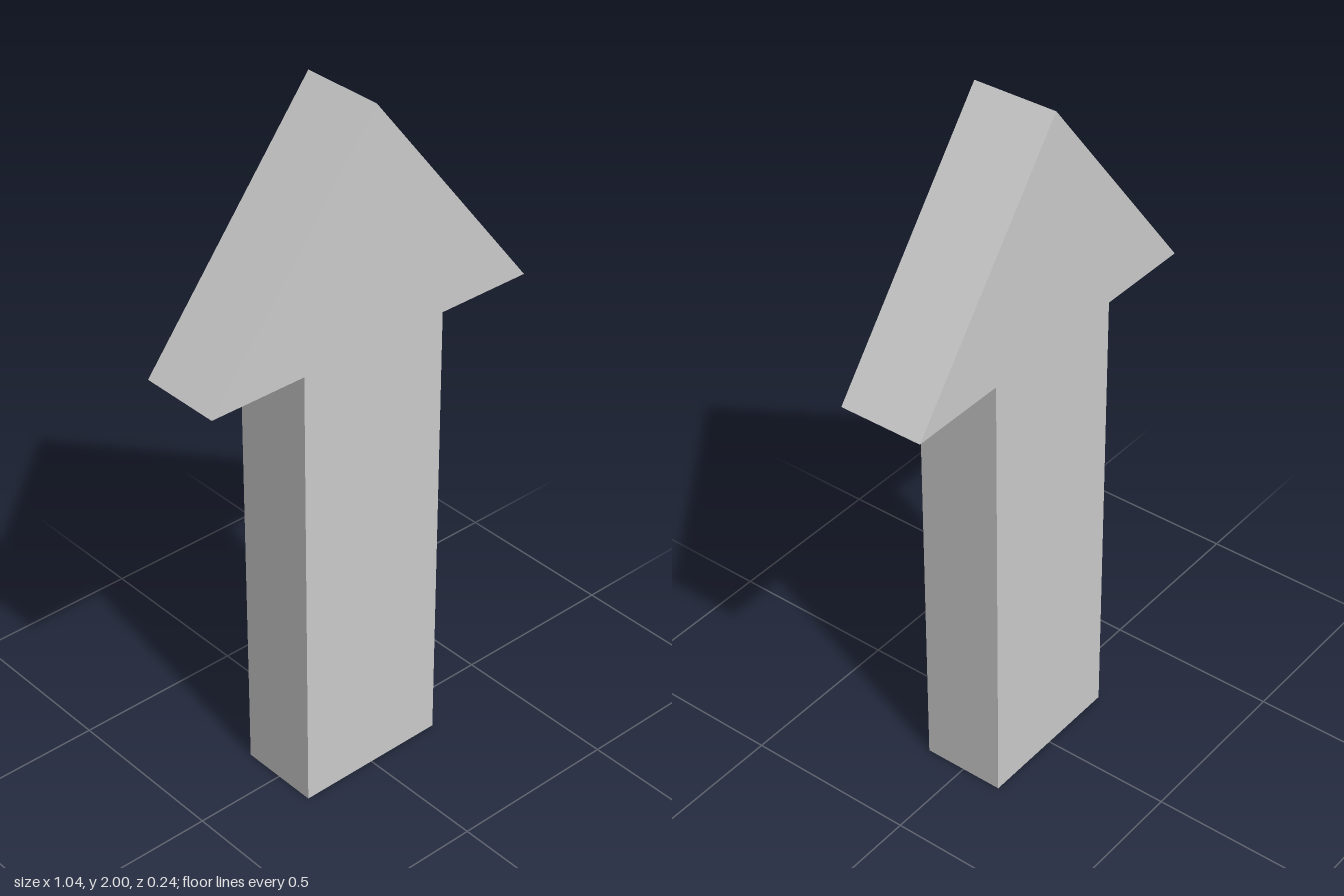
import * as THREE from 'three';

const HEAD_HALF = 0.518;   // half width of the arrowhead
const SHAFT_HALF = 0.23;   // half width of the shaft
const SHOULDER_Y = 1.345;  // where the head meets the shaft
const TIP_Y = 2;
const DEPTH = 0.242;

export function createModel() {
  const group = new THREE.Group();
  group.name = 'upArrow';

  // Right half of the outline, bottom to shoulder; mirrored for the left half
  const half = [[SHAFT_HALF, 0], [SHAFT_HALF, SHOULDER_Y], [HEAD_HALF, SHOULDER_Y]];
  const mirrored = half.map(([x, y]) => [-x, y]).reverse();
  const outline = [...half, [0, TIP_Y], ...mirrored].map(([x, y]) => new THREE.Vector2(x, y));

  // Solid arrow, extruded and centred on z
  const geometry = new THREE.ExtrudeGeometry(new THREE.Shape(outline), {
    depth: DEPTH,
    bevelEnabled: false,
  });
  geometry.translate(0, 0, -DEPTH / 2);

  const arrow = new THREE.Mesh(
    geometry,
    new THREE.MeshStandardMaterial({ color: 0xcccccc, flatShading: true })
  );
  arrow.name = 'arrowBody';
  group.add(arrow);
  return group;
}
